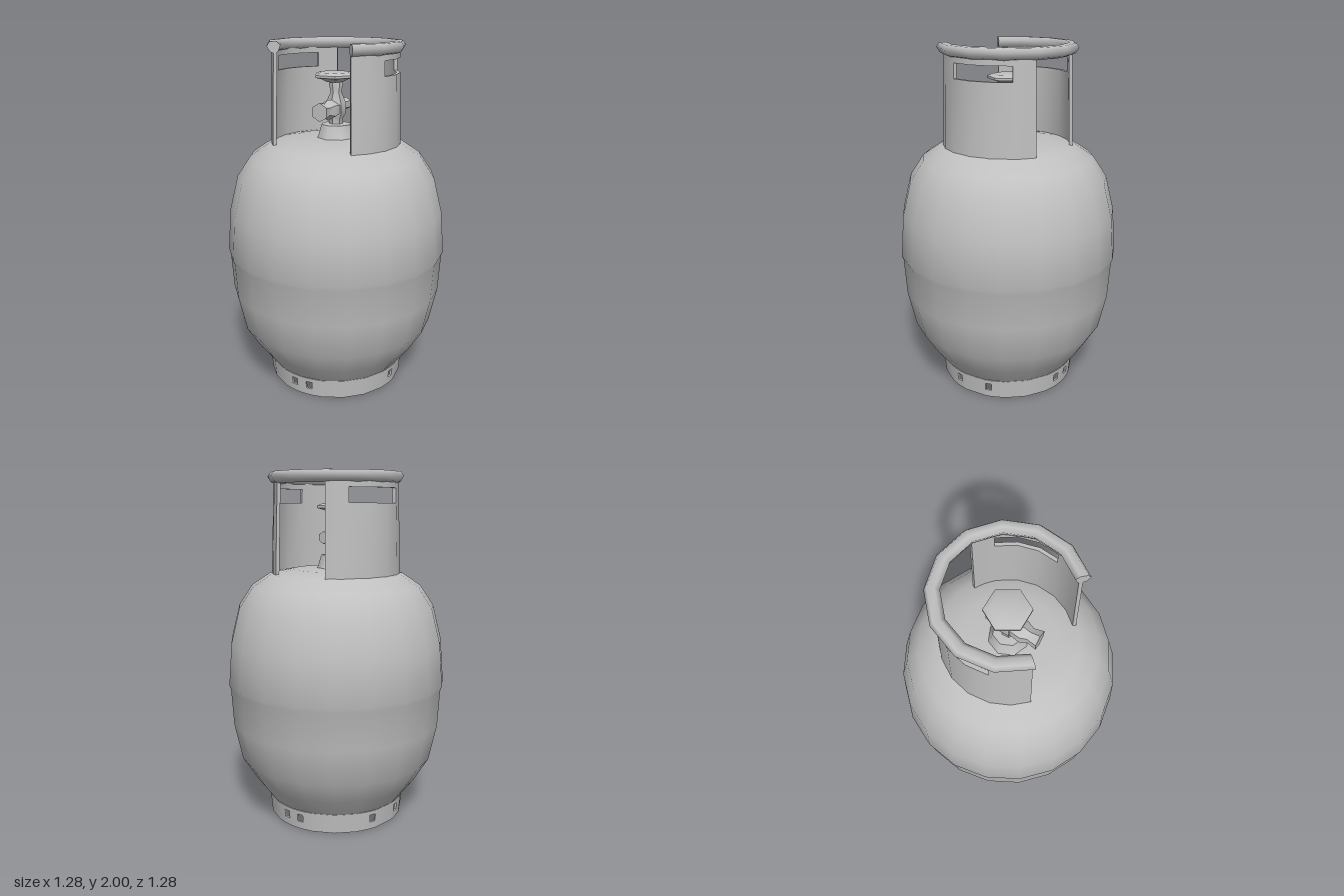
import * as THREE from 'three';
import { toCreasedNormals } from 'three/addons/utils/BufferGeometryUtils.js';

const rad = THREE.MathUtils.degToRad;
const CREASE = rad(50);
const points = (list) => list.map(([r, y]) => new THREE.Vector2(r, y));

// Turned part with sharp edges kept
function turned(profile, sides, start = 0, length = Math.PI * 2) {
  return toCreasedNormals(new THREE.LatheGeometry(points(profile), sides, start, length), CREASE);
}

// Curved sheet with thickness, made of cells; cells where isHole is true stay open.
// Angles run from +z towards +x.
function curvedWall(phis, ys, radiusAt, thickness, isHole, closed) {
  const pos = [];
  const cols = phis.length - 1, rows = ys.length - 1;
  const at = (i, j, inner) => {
    const r = radiusAt(ys[j]) - (inner ? thickness : 0);
    return [r * Math.sin(phis[i]), ys[j], r * Math.cos(phis[i])];
  };
  const solid = (i, j) => {
    if (j < 0 || j >= rows) return false;
    if (closed) i = (i + cols) % cols;
    if (i < 0 || i >= cols) return false;
    return !isHole((phis[i] + phis[i + 1]) / 2, (ys[j] + ys[j + 1]) / 2);
  };
  const quad = (a, b, c, d) => pos.push(...a, ...b, ...c, ...a, ...c, ...d);
  for (let i = 0; i < cols; i++) {
    for (let j = 0; j < rows; j++) {
      if (!solid(i, j)) continue;
      const k = i + 1, l = j + 1;
      quad(at(i, j, 0), at(k, j, 0), at(k, l, 0), at(i, l, 0));
      quad(at(k, j, 1), at(i, j, 1), at(i, l, 1), at(k, l, 1));
      if (!solid(i - 1, j)) quad(at(i, j, 1), at(i, j, 0), at(i, l, 0), at(i, l, 1));
      if (!solid(k, j)) quad(at(k, j, 0), at(k, j, 1), at(k, l, 1), at(k, l, 0));
      if (!solid(i, j - 1)) quad(at(i, j, 1), at(k, j, 1), at(k, j, 0), at(i, j, 0));
      if (!solid(i, l)) quad(at(i, l, 0), at(k, l, 0), at(k, l, 1), at(i, l, 1));
    }
  }
  const geo = new THREE.BufferGeometry();
  geo.setAttribute('position', new THREE.Float32BufferAttribute(pos, 3));
  return toCreasedNormals(geo, CREASE);
}

export function createModel() {
  const model = new THREE.Group();
  model.name = 'gasCylinder';
  const steel = new THREE.MeshStandardMaterial({ color: 0xc0c0c0, side: THREE.DoubleSide });
  steel.name = 'greySteel';
  const add = (name, geo, parent = model) => {
    const mesh = new THREE.Mesh(geo, steel);
    mesh.name = name;
    parent.add(mesh);
    return mesh;
  };

  // Tank with a slight weld ridge at mid height
  add('tank', turned([
    [0, 0.11], [0.25, 0.11], [0.405, 0.11], [0.49, 0.225], [0.572, 0.36], [0.617, 0.57],
    [0.629, 0.785], [0.638, 0.808], [0.618, 1.05], [0.567, 1.25], [0.49, 1.365],
    [0.385, 1.435], [0.25, 1.46], [0, 1.47],
  ], 20));

  // Foot ring with pairs of drain holes
  const right = Math.PI / 2;
  const drains = [-0.12, 0.12, Math.PI - 0.12, Math.PI + 0.12,
    right - 0.12, right + 0.38, 3 * right + 0.12, 3 * right - 0.38];
  const half = 0.045;
  const footPhis = [];
  const start = -rad(18);
  for (let i = 0; i <= 20; i++) footPhis.push(start + i * rad(18));
  for (const d of drains) footPhis.push(d - half, d + half);
  footPhis.sort((a, b) => a - b);
  add('footRing', curvedWall(footPhis, [0, 0.045, 0.09, 0.115], (y) => 0.4 + y * 0.09, 0.012,
    (p, y) => y > 0.045 && y < 0.09 && drains.some((d) => Math.abs(p - d) < half), true));

  // Guard collar: two side walls, each with a hand hole
  const wallAngles = [42, 58, 75, 94, 113, 132, 142, 152].map(rad);
  const collarRadius = (y) => 0.37 - (y - 1.42) * 0.035;
  for (const side of [1, -1]) {
    const phis = side > 0 ? wallAngles : wallAngles.map((p) => -p).reverse();
    add(side > 0 ? 'leftCollarWall' : 'rightCollarWall',
      curvedWall(phis, [1.42, 1.83, 1.91, 1.965], collarRadius, 0.02,
        (p, y) => y > 1.83 && y < 1.91 && Math.abs(p) > rad(75) && Math.abs(p) < rad(132), false));
  }

  // Thick grip rim, open at the front
  const rimProfile = [[0.345, 1.935], [0.37, 1.945], [0.388, 1.975], [0.372, 1.998],
    [0.335, 2], [0.312, 1.98], [0.325, 1.945], [0.345, 1.935]];
  const rim = new THREE.Group();
  rim.name = 'gripRim';
  model.add(rim);
  add('rimBar', new THREE.LatheGeometry(points(rimProfile), 10, rad(42), rad(276)), rim);
  for (const phi of [42, 318]) {
    const cap = add('rimEnd', new THREE.ShapeGeometry(new THREE.Shape(points(rimProfile.slice(0, -1)))), rim);
    if (phi === 318) {
      cap.geometry.scale(1, 1, -1);
    }
    cap.rotation.y = rad(phi) - right;
  }

  // Valve: boss, stem, outlet and hand wheel
  const valve = new THREE.Group();
  valve.name = 'valve';
  model.add(valve);
  add('valveBoss', turned([[0.12, 1.45], [0.105, 1.475], [0.085, 1.54], [0, 1.545]], 8), valve);
  add('valveStem', turned([[0.04, 1.53], [0.038, 1.57], [0.055, 1.6], [0.055, 1.66],
    [0.03, 1.72], [0.04, 1.765], [0.03, 1.79]], 6), valve);
  const outlet = add('valveOutlet', turned([[0, 0], [0.045, 0.01], [0.058, 0.09], [0.04, 0.125],
    [0.052, 0.18], [0, 0.18]], 6), valve);
  outlet.position.y = 1.628;
  outlet.rotation.x = right;
  const relief = add('reliefPlug', toCreasedNormals(new THREE.CylinderGeometry(0.035, 0.035, 0.115, 6), CREASE), valve);
  relief.position.set(0, 1.64, -0.06);
  relief.rotation.x = right;
  const wheel = add('handWheel', turned([[0, 1.772], [0.05, 1.775], [0.085, 1.793], [0.122, 1.802],
    [0.122, 1.815], [0.09, 1.828], [0, 1.83]], 6), valve);
  wheel.rotation.y = rad(30);
  wheel.position.x = -0.008;

  return model;
}
